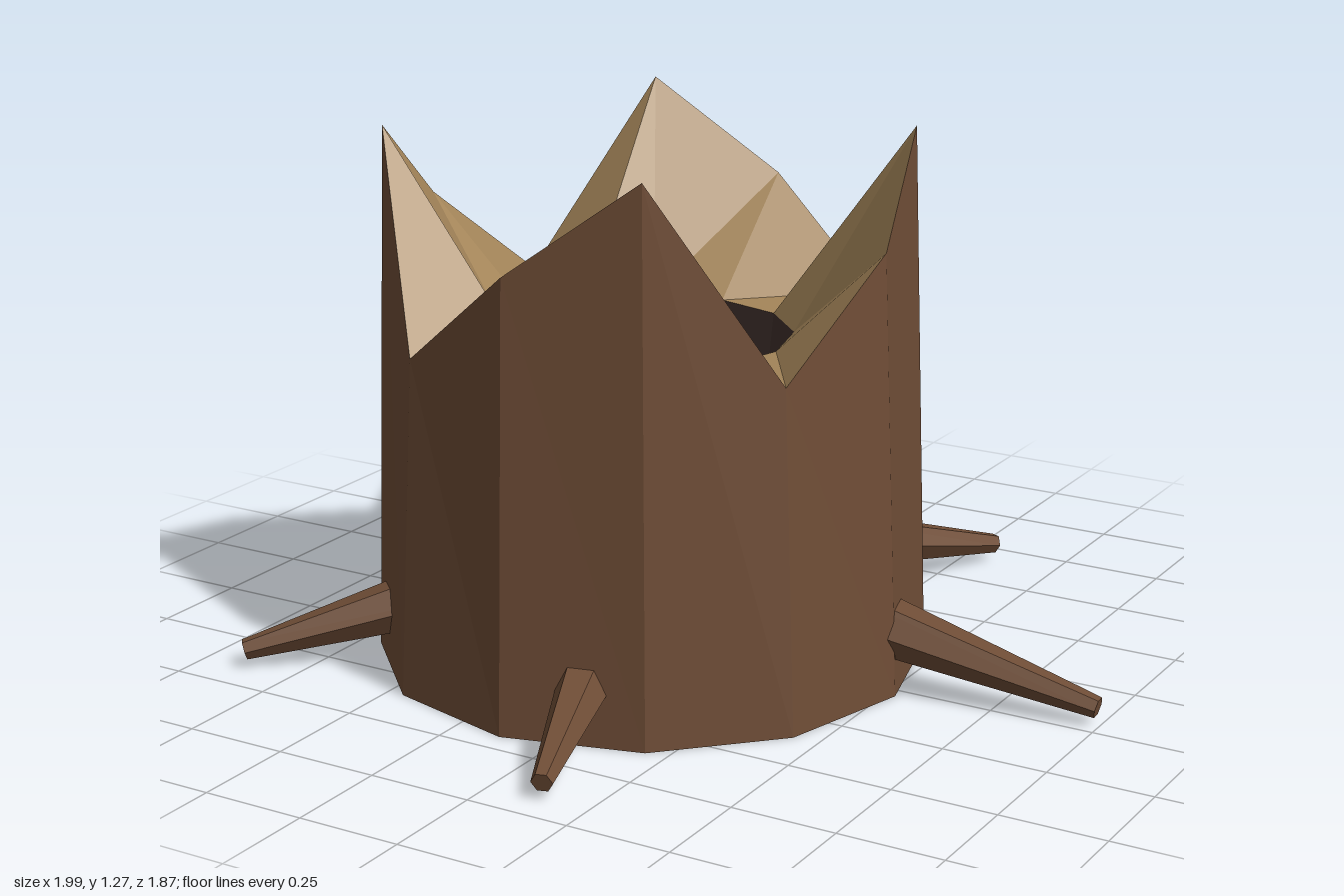
import * as THREE from 'three';

const SIDES = 12;
const CX = -0.13, CZ = 0.035; // trunk axis

// Ring of points around the trunk axis; heights repeat around it
const ring = (r, heights) => Array.from({ length: SIDES }, (_, k) => {
  const a = (k / SIDES) * Math.PI * 2;
  return [CX + r * Math.sin(a), heights[k % heights.length], CZ + r * Math.cos(a)];
});

// Faceted band between an upper and a lower ring, facing out or in
function band(a, b, inward) {
  const pos = [];
  for (let k = 0; k < SIDES; k++) {
    const n = (k + 1) % SIDES;
    const tris = inward
      ? [a[k], b[n], b[k], a[k], a[n], b[n]]
      : [a[k], b[k], b[n], a[k], b[n], a[n]];
    for (const p of tris) pos.push(...p);
  }
  const g = new THREE.BufferGeometry();
  g.setAttribute('position', new THREE.Float32BufferAttribute(pos, 3));
  g.computeVertexNormals();
  return g;
}

export function createModel() {
  const material = (name, color) => {
    const m = new THREE.MeshStandardMaterial({ color, flatShading: true });
    m.name = name;
    return m;
  };
  const bark = material('bark brown', 0x6f4d36);
  const wood = material('pale wood', 0xa5865a);
  const dark = material('dark hollow', 0x3f302c);

  const model = new THREE.Group();
  model.name = 'hollowStump';
  const add = (name, geometry, mat) => {
    const mesh = new THREE.Mesh(geometry, mat);
    mesh.name = name;
    model.add(mesh);
    return mesh;
  };

  // Trunk with a jagged broken rim, sloping inner wood and a tapered hollow
  const base = ring(0.655, [0]);
  const rim = ring(0.612, [1.045, 1.27, 0.8]);
  const lip = ring(0.335, [0.78]);
  const foot = ring(0.285, [0.33]);
  add('trunkBark', band(rim, base, false), bark);
  add('brokenWood', band(rim, lip, true), wood);
  add('hollowWall', band(lip, foot, true), dark);

  // Hollow floor and underside
  const floor = add('hollowFloor', new THREE.CircleGeometry(0.285, SIDES).rotateX(-Math.PI / 2), wood);
  floor.position.set(CX, 0.33, CZ);
  const underside = add('underside', new THREE.CircleGeometry(0.655, SIDES).rotateX(Math.PI / 2), dark);
  underside.position.set(CX, 0, CZ);

  // Tapered six-sided roots, from inside the trunk down to the ground
  const roots = [ // inner x, z, tip x, z
    [0.05, 0.02, 0.993, -0.045],
    [-0.07, 0.23, 0.14, 0.925],
    [-0.28, 0.17, -0.885, 0.645],
    [-0.26, -0.09, -0.975, -0.765],
    [-0.05, -0.13, 0.325, -0.93],
  ];
  for (const [x, z, tx, tz] of roots) {
    const from = new THREE.Vector3(x, 0.24, z);
    const tip = new THREE.Vector3(tx, 0.042, tz);
    const length = from.distanceTo(tip);
    const g = new THREE.CylinderGeometry(0.025, 0.108, length, 6)
      .rotateY(Math.PI / 6).rotateX(Math.PI / 2).translate(0, 0, length / 2);
    const root = add('root', g, bark);
    root.position.copy(from);
    root.lookAt(tip);
  }
  return model;
}
